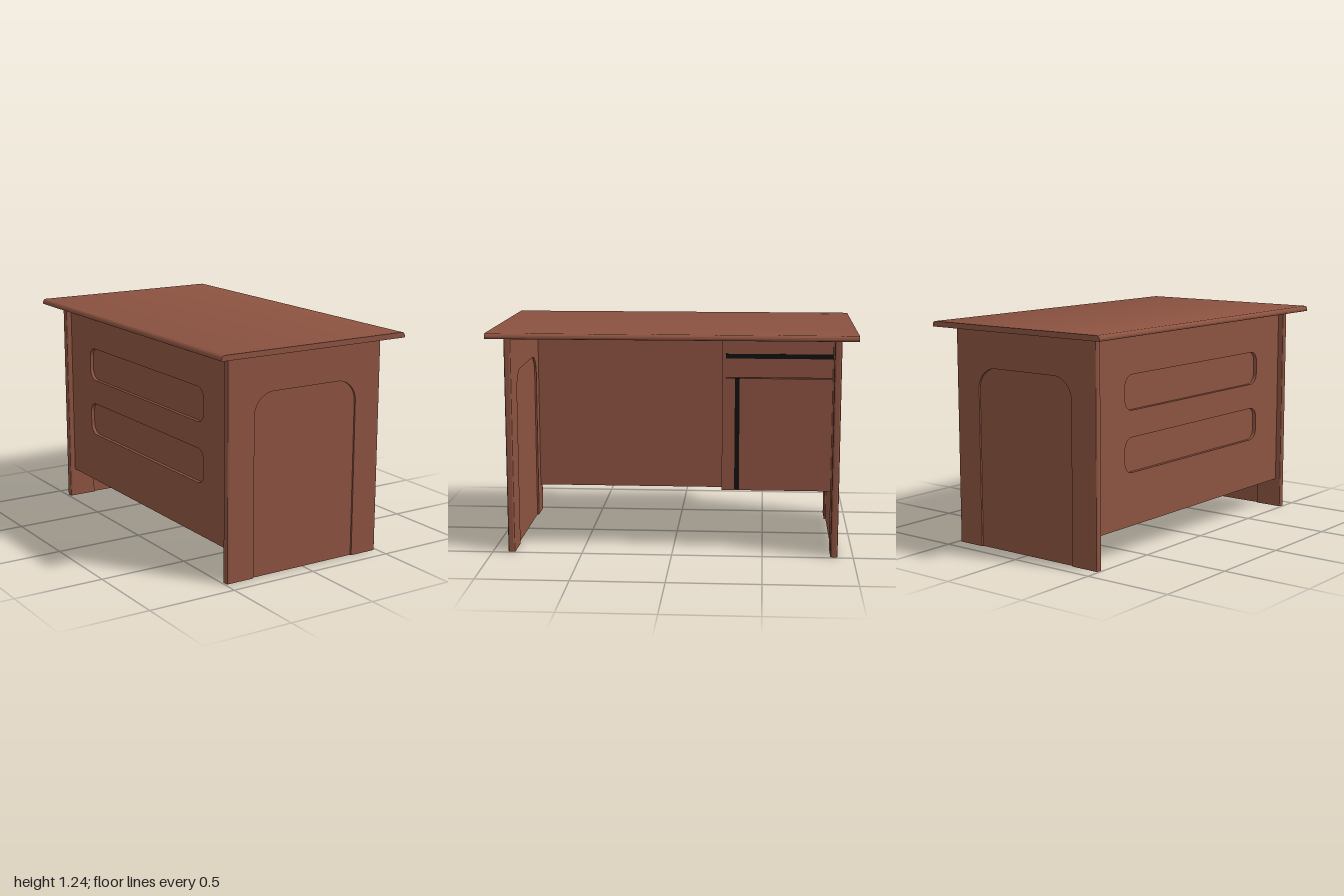
import * as THREE from 'three';
import { toCreasedNormals } from 'three/addons/utils/BufferGeometryUtils.js';

const wood = new THREE.MeshStandardMaterial({ color: 0x8b5240 });
const black = new THREE.MeshStandardMaterial({ color: 0x111111 });

function add(parent, name, geometry, material = wood) {
  const mesh = new THREE.Mesh(geometry, material);
  mesh.name = name;
  parent.add(mesh);
  return mesh;
}

// Box given by its minimum and maximum corners
function block(parent, name, [x0, y0, z0], [x1, y1, z1], material) {
  const mesh = add(parent, name, new THREE.BoxGeometry(x1 - x0, y1 - y0, z1 - z0), material);
  mesh.position.set((x0 + x1) / 2, (y0 + y1) / 2, (z0 + z1) / 2);
  return mesh;
}

// Extrusion centred on z = 0, with smooth curves and sharp edges
function extrude(shape, depth) {
  const geometry = new THREE.ExtrudeGeometry(shape, { depth, bevelEnabled: false, curveSegments: 10 });
  return toCreasedNormals(geometry.translate(0, 0, -depth / 2), 0.6);
}

// Rectangle with separate radii for its lower and upper corners
function roundedRect(x0, y0, x1, y1, lower, upper, path = new THREE.Shape()) {
  path.moveTo(x0 + lower, y0);
  path.lineTo(x1 - lower, y0);
  if (lower) path.absarc(x1 - lower, y0 + lower, lower, -Math.PI / 2, 0);
  path.lineTo(x1, y1 - upper);
  if (upper) path.absarc(x1 - upper, y1 - upper, upper, 0, Math.PI / 2);
  path.lineTo(x0 + upper, y1);
  if (upper) path.absarc(x0 + upper, y1 - upper, upper, Math.PI / 2, Math.PI);
  path.lineTo(x0, y0 + lower);
  if (lower) path.absarc(x0 + lower, y0 + lower, lower, Math.PI, Math.PI * 1.5);
  path.closePath();
  return path;
}

const H = 1.205; // underside of the top

// End panel: frame around a sunken arch, with rounded long edges
function createEndPanel() {
  const end = new THREE.Group();
  const w = 0.475, a = 0.325, top = 0.995, r = 0.12;
  const frame = new THREE.Shape();
  frame.moveTo(a, 0);
  frame.lineTo(w, 0);
  frame.lineTo(w, H);
  frame.lineTo(-w, H);
  frame.lineTo(-w, 0);
  frame.lineTo(-a, 0);
  frame.lineTo(-a, top - r);
  frame.absarc(-a + r, top - r, r, Math.PI, Math.PI / 2, true);
  frame.lineTo(a - r, top);
  frame.absarc(a - r, top - r, r, Math.PI / 2, 0, true);
  frame.closePath();
  add(end, 'endFrame', extrude(frame, 0.04));
  add(end, 'sunkenArch', extrude(roundedRect(-a, 0, a, top, 0, r), 0.02));
  for (const side of [-1, 1]) {
    const strip = extrude(roundedRect(-0.02, 0, 0.02, 0.015, 0, 0.013), H);
    const mesh = add(end, 'roundedEdge', strip);
    // Profile height points outwards along x, extrusion runs along y
    const out = new THREE.Vector3(side, 0, 0), up = new THREE.Vector3(0, 1, 0);
    mesh.quaternion.setFromRotationMatrix(
      new THREE.Matrix4().makeBasis(new THREE.Vector3().crossVectors(out, up), out, up));
    mesh.position.set(side * w, H / 2, 0);
  }
  return end;
}

// Cabinet with one drawer above a door, opening towards +x
function createCabinet() {
  const cabinet = new THREE.Group();
  cabinet.name = 'cabinet';
  const back = -0.41, front = 0.355, z0 = -0.875, z1 = -0.29;
  block(cabinet, 'cabinetSide', [back, 0.34, z1], [front, H, -0.27]);
  block(cabinet, 'cabinetBody', [back, 0.34, z0], [front - 0.02, H, z1]);
  block(cabinet, 'drawerFront', [front - 0.02, 0.975, z0], [front, H, z1]);
  block(cabinet, 'door', [front - 0.02, 0.34, z0], [front, 0.97, z1]);
  block(cabinet, 'drawerGrip', [front - 0.01, 1.08, z0], [front + 0.002, 1.106, z1], black);
  block(cabinet, 'doorGrip', [front - 0.01, 0.345, -0.366], [front + 0.002, 0.97, -0.34], black);
  return cabinet;
}

// Long side panel with two sunken slots on its outer face
function createSidePanel() {
  const panel = new THREE.Group();
  panel.name = 'sidePanel';
  block(panel, 'panelBacking', [-0.435, 0.17, -0.875], [-0.41, H, 0.875]);
  const face = roundedRect(-0.875, 0.17, 0.875, H, 0, 0);
  for (const y of [0.46, 0.795]) {
    face.holes.push(roundedRect(-0.635, y, 0.635, y + 0.19, 0.06, 0.06, new THREE.Path()));
  }
  const mesh = add(panel, 'slottedFace', extrude(face, 0.02));
  mesh.rotation.y = -Math.PI / 2;
  mesh.position.x = -0.445;
  return panel;
}

export function createModel() {
  const desk = new THREE.Group();
  desk.name = 'desk';

  // Top with rounded upper edges along its length
  const top = add(desk, 'deskTop', extrude(roundedRect(-0.58, 0, 0.58, 0.03, 0.004, 0.02), 2));
  top.position.y = H;

  for (const [name, z] of [['frontEndPanel', 0.895], ['backEndPanel', -0.895]]) {
    const end = createEndPanel();
    end.name = name;
    end.position.z = z;
    desk.add(end);
  }
  desk.add(createSidePanel(), createCabinet());
  return desk;
}
